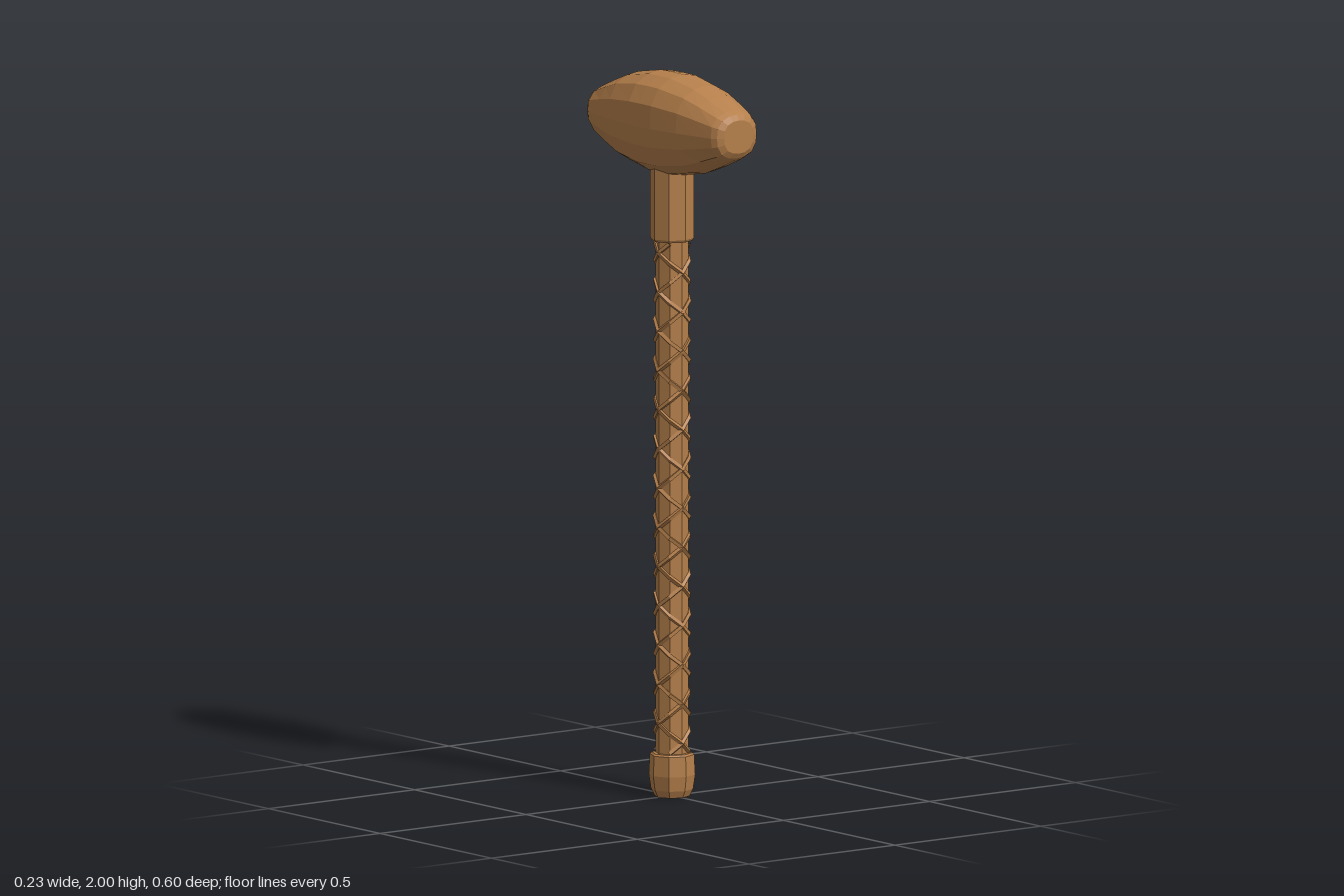
import * as THREE from 'three';

const wood = new THREE.MeshStandardMaterial({ color: 0xb57f4b, flatShading: true });

function addMesh(group, name, geometry) {
  const mesh = new THREE.Mesh(geometry, wood);
  mesh.name = name;
  group.add(mesh);
}

// Eight-sided turned part from [radius, y] pairs, listed bottom to top
function turned(profile) {
  return new THREE.LatheGeometry(profile.map(([r, y]) => new THREE.Vector2(r, y)), 8);
}

// Barrel-shaped head: one cross-section scaled along z and closed at both ends
function headGeometry() {
  const half = [[0, 1], [0.38, 0.95], [0.74, 0.78], [0.96, 0.45], [1, 0], [0.96, -0.38], [0.75, -0.76], [0.38, -0.95], [0, -1]];
  const ring = [...half, ...half.slice(1, -1).reverse().map(([x, y]) => [-x, y])];
  // z, half width, half height
  const side = [[0.05, 0.115, 0.139], [0.15, 0.103, 0.121], [0.21, 0.091, 0.098], [0.275, 0.077, 0.07], [0.291, 0.068, 0.061], [0.3, 0.05, 0.046]];
  const sections = [...side.map(([z, w, h]) => [-z, w, h]).reverse(), [0, 0.115, 0.14], ...side];
  const n = ring.length, positions = [], index = [];
  for (const [z, w, h] of sections) {
    for (const [x, y] of ring) positions.push(x * w, 1.86 + y * h, z);
  }
  for (let i = 0; i < sections.length - 1; i++) {
    for (let j = 0; j < n; j++) {
      const a = i * n + j, b = i * n + (j + 1) % n;
      index.push(a, a + n, b, b, a + n, b + n);
    }
  }
  const last = (sections.length - 1) * n, back = positions.length / 3;
  positions.push(0, 1.86, -0.3, 0, 1.86, 0.3);
  for (let j = 0; j < n; j++) {
    const k = (j + 1) % n;
    index.push(back, j, k, back + 1, last + k, last + j);
  }
  const geometry = new THREE.BufferGeometry();
  geometry.setAttribute('position', new THREE.Float32BufferAttribute(positions, 3));
  geometry.setIndex(index);
  geometry.computeVertexNormals();
  return geometry;
}

// Cord winding up the grip, bending only at the grip's corners
class Helix extends THREE.Curve {
  constructor(direction, phase) {
    super();
    this.direction = direction;
    this.phase = phase;
  }
  getPoint(t, target = new THREE.Vector3()) {
    const angle = this.phase + this.direction * (t * 13 * Math.PI - Math.PI / 4);
    return target.set(0.046 * Math.sin(angle), 0.123 + t * 1.408, 0.046 * Math.cos(angle));
  }
}

export function createModel() {
  const model = new THREE.Group();
  model.name = 'hammer';

  addMesh(model, 'head', headGeometry());
  addMesh(model, 'collar', turned([[0, 1.535], [0.056, 1.535], [0.06, 1.542], [0.06, 1.8], [0, 1.8]]));
  addMesh(model, 'grip', turned([[0.045, 0.1], [0.045, 1.55]]));
  addMesh(model, 'pommel', turned([[0, 0], [0.048, 0], [0.058, 0.02], [0.064, 0.06], [0.061, 0.115], [0.056, 0.12], [0, 0.12]]));

  // Two opposed pairs of cords cross on all four sides of the grip
  const wrap = new THREE.Group();
  wrap.name = 'gripWrap';
  for (const direction of [1, -1]) {
    for (const phase of [0, Math.PI]) {
      addMesh(wrap, 'cord', new THREE.TubeGeometry(new Helix(direction, phase), 52, 0.007, 4));
    }
  }
  model.add(wrap);
  return model;
}
